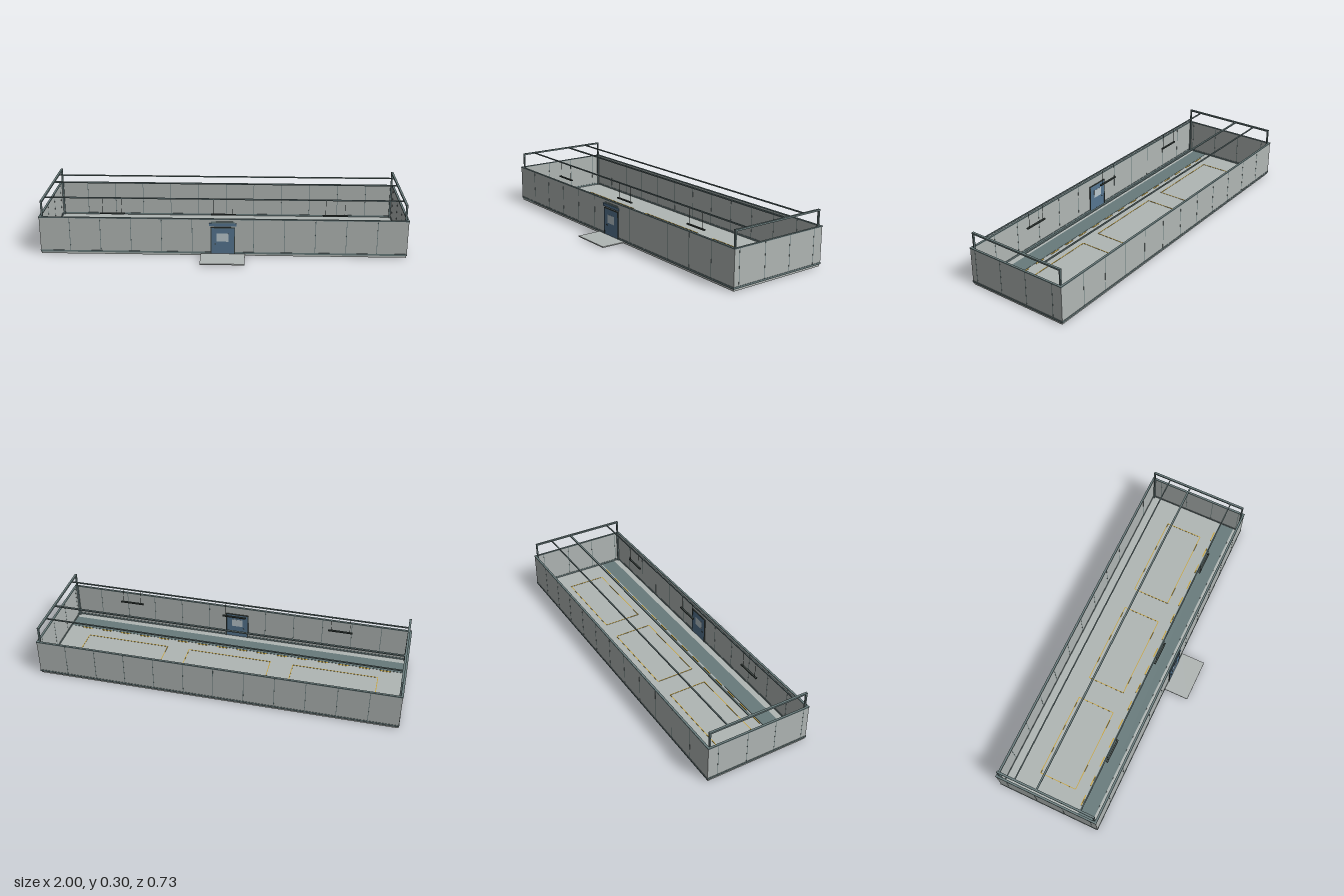
import * as THREE from 'three';

const mat = (name, color) => {
  const m = new THREE.MeshStandardMaterial({ color });
  m.name = name;
  return m;
};

export function createModel() {
  const root = new THREE.Group();
  root.name = 'openRoom';
  const panel = mat('panelGrey', 0xb0b6b4);
  const steel = mat('steelTeal', 0x687b7c);
  const dark = mat('darkMetal', 0x39423f);
  const blue = mat('doorBlue', 0x557590);
  const glass = mat('windowPale', 0xb9c6cc);
  const yellow = mat('markingYellow', 0xc9a53a);

  // Box given by its lower and upper limits on each axis
  const box = (name, m, x0, x1, y0, y1, z0, z1, parent = root) => {
    const mesh = new THREE.Mesh(new THREE.BoxGeometry(x1 - x0, y1 - y0, z1 - z0), m);
    mesh.position.set((x0 + x1) / 2, (y0 + y1) / 2, (z0 + z1) / 2);
    mesh.name = name;
    parent.add(mesh);
    return mesh;
  };
  const group = (name) => {
    const g = new THREE.Group();
    g.name = name;
    root.add(g);
    return g;
  };

  const X = 0.997, ZB = -0.362, ZF = 0.225, T = 0.008;
  const floorY = 0.012, topY = 0.209;

  // Floor slab and entrance ramp
  box('floorSlab', panel, -0.994, 0.994, 0, floorY, -0.358, 0.222);
  box('entranceRamp', panel, -0.12, 0.12, 0.006, 0.012, 0.222, 0.365);

  // Rectangular ring of four bars: walls, base trim and top rim
  const ring = (name, m, y0, y1, out, inn) => {
    const g = group(name);
    box(name + 'Front', m, -X - out, X + out, y0, y1, ZF - T - inn, ZF + out, g);
    box(name + 'Back', m, -X - out, X + out, y0, y1, ZB - out, ZB + T + inn, g);
    for (const s of [-1, 1]) {
      const a = s * (X + out), b = s * (X - T - inn);
      box(name + 'Side', m, Math.min(a, b), Math.max(a, b), y0, y1, ZB + T + inn, ZF - T - inn, g);
    }
  };
  ring('walls', panel, floorY, topY, 0, 0);
  ring('baseTrim', steel, floorY, 0.022, 0.002, 0.002);
  ring('topRim', steel, topY, 0.214, 0.002, 0.002);

  // Panel joints, seen inside and outside
  const joints = group('panelJoints');
  const w = 0.0015, p = 0.0006;
  for (let i = -5; i <= 5; i++) {
    const x = i / 6;
    box('backJoint', steel, x - w, x + w, 0.022, topY, ZB - p, ZB + T + p, joints);
    if (i !== 0) box('frontJoint', steel, x - w, x + w, 0.022, topY, ZF - T - p, ZF + p, joints);
  }
  for (const z of [-0.305, -0.137, 0.027, 0.193]) {
    for (const s of [-1, 1]) {
      const c = s * (X - T / 2), h = T / 2 + p;
      box('sideJoint', steel, c - h, c + h, 0.022, topY, z - w, z + w, joints);
    }
  }

  // End frames: corner posts and cross beams
  for (const s of [-1, 1]) {
    const g = group('endFrame');
    const c = s * 0.982;
    for (const z of [-0.347, 0.21]) {
      box('cornerPost', steel, c - 0.005, c + 0.005, floorY, 0.291, z - 0.004, z + 0.004, g);
    }
    box('crossBeam', steel, c - 0.006, c + 0.006, 0.291, 0.3, -0.351, 0.214, g);
  }

  // Long overhead rails
  const rails = group('overheadRails');
  for (const [z, h] of [[-0.247, 0.003], [-0.12, 0.005], [0.135, 0.003]]) {
    box('overheadRail', steel, -0.978, 0.978, 0.291, 0.298, z - h, z + h, rails);
  }

  // Lamps hanging over the walkway
  for (const x of [-0.61, 0, 0.61]) {
    const g = group('hangingLamp');
    box('lampBody', dark, x - 0.068, x + 0.068, 0.201, 0.208, 0.13, 0.14, g);
    for (const s of [-1, 1]) {
      const c = x + s * 0.052;
      box('lampWire', dark, c - 0.0008, c + 0.0008, 0.208, 0.291, 0.1342, 0.1358, g);
    }
  }

  // Door, shown on both faces of the front wall
  const door = group('door');
  const zi = ZF - T - 0.004, zo = ZF + 0.004;
  box('doorLeaf', blue, -0.062, 0.062, 0.014, 0.162, zi, zo, door);
  for (const s of [-1, 1]) {
    const c = s * 0.0645;
    box('doorJamb', dark, c - 0.0025, c + 0.0025, floorY, 0.167, zi - 0.001, zo + 0.001, door);
  }
  box('doorHead', dark, -0.067, 0.067, 0.162, 0.167, zi - 0.001, zo + 0.001, door);
  box('doorWindow', glass, -0.033, 0.03, 0.084, 0.131, zi - 0.001, zo + 0.001, door);
  box('doorHandle', dark, -0.046, -0.036, 0.068, 0.073, zi - 0.002, zo + 0.002, door);
  box('doorCanopy', blue, -0.074, 0.074, 0.174, 0.19, ZF, ZF + 0.006, door);
  box('canopyCap', steel, -0.064, 0.064, 0.19, 0.199, ZF, ZF + 0.003, door);

  // Floor walkway and painted markings
  const marks = group('floorMarkings');
  const m0 = floorY, m1 = floorY + 0.0015;
  box('walkway', steel, -0.985, 0.985, m0, m1, 0.092, 0.18, marks);
  for (let i = 0; i < 16; i++) {
    const x = -0.885 + i * 0.118;
    box('walkwayDash', yellow, x - 0.03, x + 0.03, m0, m1, 0.083, 0.089, marks);
  }
  const l = 0.002;
  for (const x of [-0.61, 0, 0.61]) {
    for (const z of [-0.195, 0.02]) box('bayLine', yellow, x - 0.24, x + 0.24, m0, m1, z - l, z + l, marks);
    for (const s of [-1, 1]) {
      const c = x + s * 0.24;
      box('bayLine', yellow, c - l, c + l, m0, m1, -0.193, 0.018, marks);
    }
  }
  return root;
}
